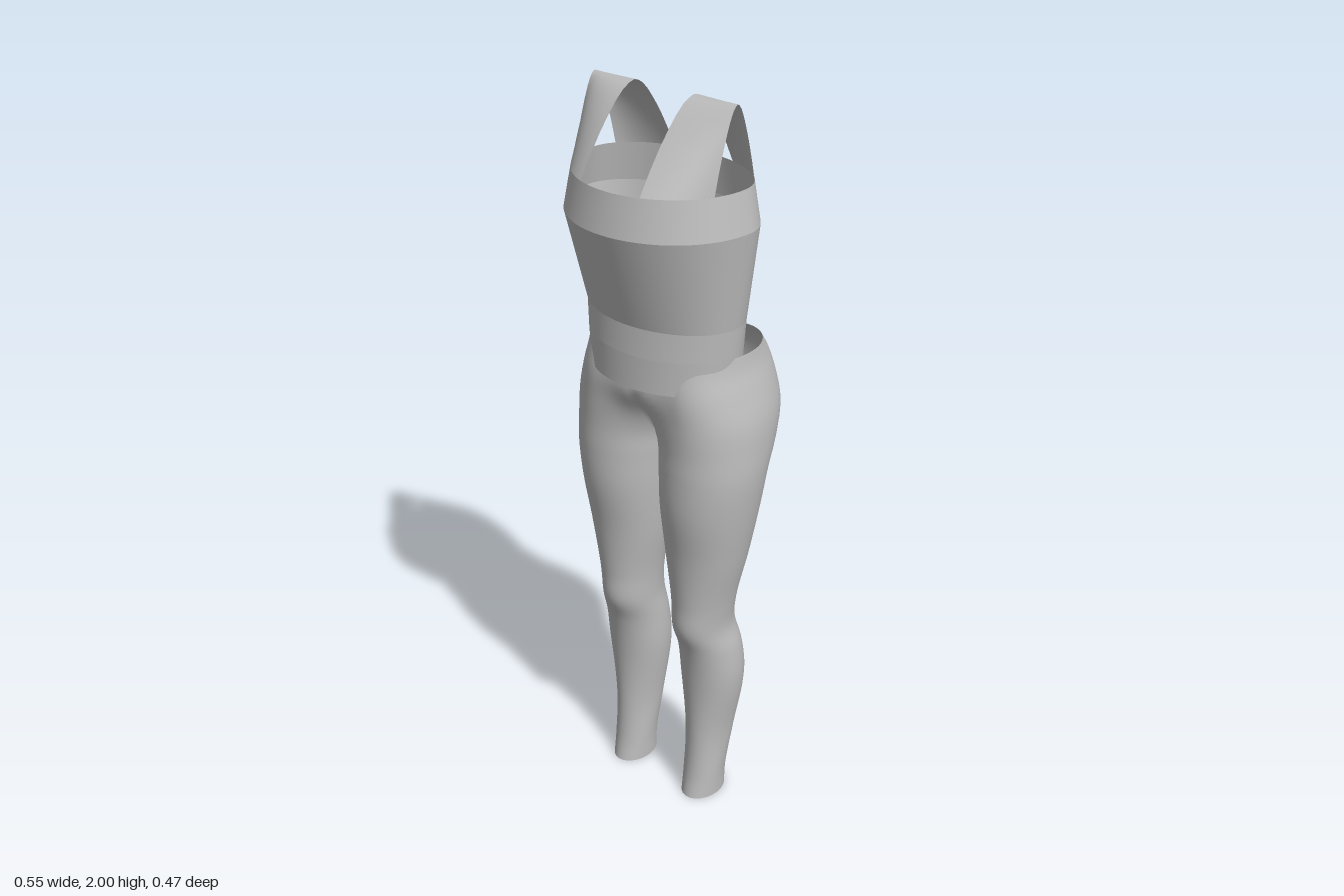
import * as THREE from 'three';
import { mergeGeometries, mergeVertices } from 'three/addons/utils/BufferGeometryUtils.js';

// Surface through rows of points, bottom row first, each row running towards +x at the front
function loft(rows) {
  const n = rows[0].length, index = [];
  for (let i = 0; i < rows.length - 1; i++) {
    for (let j = 0; j < n - 1; j++) {
      const a = i * n + j, b = a + 1, c = b + n, d = a + n;
      index.push(a, b, c, a, c, d);
    }
  }
  const geometry = new THREE.BufferGeometry();
  geometry.setAttribute('position', new THREE.Float32BufferAttribute(rows.flat(2), 3));
  geometry.setIndex(index);
  return geometry;
}

const mirrorRows = rows => rows.map(r => r.map(([x, y, z]) => [-x, y, z]).reverse());

function smooth(geometry) {
  const welded = mergeVertices(geometry, 1e-5);
  welded.computeVertexNormals();
  return welded;
}

// Leg and hip sections: y, centre x, outer x, inner x, centre z, back z, front z.
// A negative inner x means the section is cut open at the middle of the body.
const LEG = [
  [0, .128, .18, .075, -.01, -.08, .062],
  [.06, .128, .181, .074, -.01, -.083, .05],
  [.2, .13, .19, .065, -.04, -.102, .04],
  [.4, .13, .218, .043, -.04, -.128, .045],
  [.5, .13, .213, .044, -.03, -.115, .062],
  [.57, .125, .2, .047, -.01, -.1, .088],
  [.65, .127, .208, .042, -.01, -.093, .09],
  [.8, .13, .238, .02, -.01, -.125, .1],
  [.95, .135, .263, .006, -.015, -.15, .12],
  [1.05, .14, .274, 0, -.02, -.17, .122],
  [1.12, .14, .274, -.01, -.03, -.205, .12],
  [1.2, .135, .268, -.06, -.04, -.23, .122],
  [1.28, .125, .247, -.17, -.05, -.222, .125],
  [1.34, .12, .228, -.3, -.05, -.203, .117],
  [1.375, .12, .222, -.4, -.05, -.178, .11],
];

function legRows() {
  const spline = new THREE.CubicInterpolant(LEG.map(r => r[0]), LEG.flatMap(r => r.slice(1)), 6);
  const rows = [], steps = 90, sides = 48;
  for (let i = 0; i <= steps; i++) {
    const y = 1.375 * i / steps;
    const [cx, xo, xi, cz, zb, zf] = spline.evaluate(y);
    const start = Math.acos(Math.min(1, cx / (cx - xi)));
    const row = [];
    for (let j = 0; j <= sides; j++) {
      const t = start + (2 * Math.PI - 2 * start) * j / sides;
      const c = Math.cos(t), s = Math.sin(t);
      const x = Math.max(0, cx - c * (c > 0 ? cx - xi : xo - cx));
      let z = cz + s * (s > 0 ? zf - cz : cz - zb);
      // Soft rise at the middle of the lower belly
      if (s > 0) z += .022 * s * Math.exp(-((x / .06) ** 2) - ((y - 1.25) / .06) ** 2);
      row.push([x, y, z]);
    }
    rows.push(row);
  }
  return rows;
}

// Torso rings: y, half width, front depth, back depth
const TORSO = [
  [1.29, .21, .158, .138],
  [1.38, .217, .158, .14],
  [1.455, .222, .155, .145],
  [1.705, .255, .235, .156],
  [1.805, .235, .217, .147],
];

function torsoRing([y, w, front, back], sides = 64) {
  return Array.from({ length: sides + 1 }, (_, j) => {
    const t = 2 * Math.PI * j / sides, s = Math.sin(t);
    return [-w * Math.cos(t), y, s * (s > 0 ? front : back)];
  });
}

// Shoulder strap arching from the front of the neckline to the back
function strapRows() {
  const [y0, w, front, back] = TORSO[TORSO.length - 1];
  const rise = [[0, 1], [.25, .83], [.5, .64], [.68, .48], [.83, .33], [.93, .2], [.98, .09]];
  const path = [...rise.map(([h, k]) => [h, k, 1]), [1, 0, 1],
    ...rise.slice().reverse().map(([h, k]) => [h, k, -1])];
  return path.map(([h, k, side]) => Array.from({ length: 11 }, (_, j) => {
    const x = .09 + .125 * j / 10;
    const edge = side * (side > 0 ? front : back) * Math.sqrt(1 - (x / w) ** 2);
    return [x, y0 + (2 - y0) * h, .01 + (edge - .01) * k];
  }));
}

export function createModel() {
  const model = new THREE.Group();
  const cloth = new THREE.MeshStandardMaterial({ color: 0xbcbcbc, side: THREE.DoubleSide });
  cloth.name = 'grey cloth';
  const add = (name, geometry) => {
    const mesh = new THREE.Mesh(geometry, cloth);
    mesh.name = name;
    model.add(mesh);
  };

  // Trousers: both mirrored legs joined at the hips
  const leg = legRows();
  add('trousers', smooth(mergeGeometries([loft(leg), loft(mirrorRows(leg))])));

  // Top: bands with a crease between them
  ['hem', 'waistBand', 'bodice', 'chestBand'].forEach((name, i) => {
    add(name, smooth(loft([torsoRing(TORSO[i]), torsoRing(TORSO[i + 1])])));
  });

  // Shoulder straps
  const strap = strapRows();
  add('leftStrap', smooth(loft(strap)));
  add('rightStrap', smooth(loft(mirrorRows(strap))));
  return model;
}
